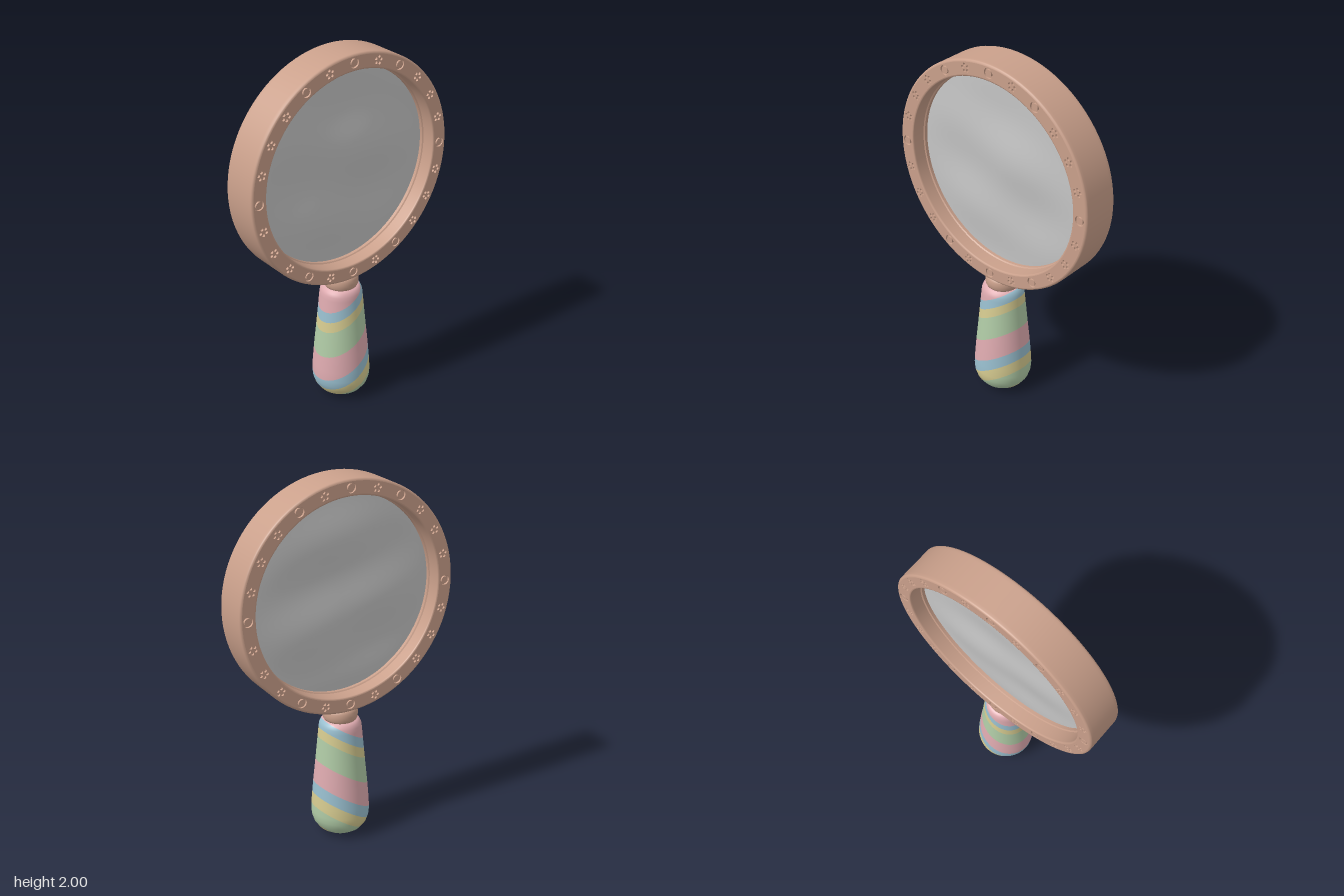
import * as THREE from 'three';
import { mergeVertices } from 'three/addons/utils/BufferGeometryUtils.js';

const mat = (name, color) => {
  const m = new THREE.MeshStandardMaterial({ color });
  m.name = name;
  return m;
};

const lathe = (pts, seg) => new THREE.LatheGeometry(pts.map(([r, y]) => new THREE.Vector2(r, y)), seg);

const circle = (Type, x, y, r) => new Type().absarc(x, y, r, 0, Math.PI * 2, false);

// Keeps the part of a polygon where sign * (height - level) >= 0
function clip(poly, level, sign) {
  const out = [];
  poly.forEach((a, i) => {
    const b = poly[(i + 1) % poly.length];
    const da = sign * (a.h - level), db = sign * (b.h - level);
    if (da >= 0) out.push(a);
    if (da * db < 0) {
      const t = da / (da - db);
      out.push({ p: a.p.clone().lerp(b.p, t), n: a.n.clone().lerp(b.n, t).normalize(), h: level });
    }
  });
  return out;
}

// Cuts the band between two slanted planes out of a surface
function slantedBand(geo, lo, hi, slope) {
  const src = geo.toNonIndexed(), P = src.attributes.position, N = src.attributes.normal;
  const pos = [], nor = [];
  for (let i = 0; i < P.count; i += 3) {
    let poly = [0, 1, 2].map((k) => {
      const p = new THREE.Vector3().fromBufferAttribute(P, i + k);
      const n = new THREE.Vector3().fromBufferAttribute(N, i + k);
      return { p, n, h: p.y - slope * p.x };
    });
    poly = clip(clip(poly, lo, 1), hi, -1);
    for (let k = 1; k < poly.length - 1; k++) {
      for (const v of [poly[0], poly[k], poly[k + 1]]) {
        pos.push(...v.p.toArray());
        nor.push(...v.n.toArray());
      }
    }
  }
  const g = new THREE.BufferGeometry();
  g.setAttribute('position', new THREE.Float32BufferAttribute(pos, 3));
  g.setAttribute('normal', new THREE.Float32BufferAttribute(nor, 3));
  return g;
}

export function createModel() {
  const model = new THREE.Group();
  model.name = 'magnifyingGlass';
  const brown = mat('warm brown', 0xcaa08b);
  const glass = mat('glass grey', 0xc6c6c6);
  const pink = mat('pink', 0xdfabb0);
  const blue = mat('blue', 0x99bfcf);
  const yellow = mat('yellow', 0xd6cb90);
  const green = mat('green', 0xb0cba6);
  const add = (parent, name, geo, material) => {
    const m = new THREE.Mesh(geo, material);
    m.name = name;
    parent.add(m);
    return m;
  };

  // Handle: tapered grip cut into slanted stripes
  const grip = lathe([[0, 0], [0.05, 0.002], [0.09, 0.012], [0.122, 0.034], [0.145, 0.066], [0.156, 0.1],
    [0.159, 0.135], [0.156, 0.19], [0.147, 0.3], [0.135, 0.42], [0.123, 0.55], [0.116, 0.625],
    [0.113, 0.648], [0.106, 0.666], [0.095, 0.677], [0.08, 0.681], [0, 0.681]], 64);
  const levels = [-1, -0.025, 0.082, 0.155, 0.225, 0.365, 0.508, 0.565, 0.622, 2];
  const stripes = [yellow, green, yellow, blue, pink, green, yellow, blue, pink];
  const handle = new THREE.Group();
  handle.name = 'handle';
  model.add(handle);
  stripes.forEach((m, i) =>
    add(handle, 'handleStripe' + (i + 1), slantedBand(grip, levels[i], levels[i + 1], 0.6), m));

  // Collar between handle and frame
  add(model, 'collar', lathe([[0, 0.672], [0.075, 0.672], [0.087, 0.679], [0.093, 0.692], [0.095, 0.712],
    [0.093, 0.732], [0.086, 0.746], [0.073, 0.754], [0.06, 0.77], [0, 0.77]], 48), brown);

  // Head: frame, engraved faces and lens, turned slightly about the upright axis
  const head = new THREE.Group();
  head.name = 'head';
  head.position.y = 1.377;
  head.rotation.y = 0.025;
  model.add(head);

  // Frame cross-section: half mirrored to the back; doubled points keep the face channel and ledge sharp
  const half = [[0.623, 0.08], [0.623, 0.094], [0.621, 0.1], [0.616, 0.104], [0.611, 0.105], [0.611, 0.105],
    [0.611, 0.093], [0.611, 0.093], [0.545, 0.093], [0.545, 0.093], [0.545, 0.105], [0.545, 0.105],
    [0.54, 0.104], [0.537, 0.101], [0.536, 0.095], [0.536, 0.03], [0.536, 0.03], [0.53, 0.025], [0.53, 0.025]];
  const back = half.map(([r, z]) => [r, -z]).reverse();
  add(head, 'frame', lathe([...half, ...back, half[0]], 96).rotateX(Math.PI / 2), brown);

  // Face plate pierced by rings and five-petal flowers, every 15 degrees
  const plate = circle(THREE.Shape, 0, 0, 0.611);
  plate.holes.push(circle(THREE.Path, 0, 0, 0.545));
  const shapes = [plate];
  const ringAngles = [0, 30, 90, 150, 180, 210, 270, 330];
  for (let deg = 0; deg < 360; deg += 15) {
    const a = THREE.MathUtils.degToRad(deg);
    const x = 0.579 * Math.sin(a), y = 0.579 * Math.cos(a);
    if (ringAngles.includes(deg)) {
      plate.holes.push(circle(THREE.Path, x, y, 0.027));
      shapes.push(circle(THREE.Shape, x, y, 0.019));
    } else {
      for (let i = 0; i < 5; i++) {
        const b = Math.PI / 2 - a + (i * Math.PI * 2) / 5;
        plate.holes.push(circle(THREE.Path, x + 0.018 * Math.cos(b), y + 0.018 * Math.sin(b), 0.008));
      }
    }
  }
  // The plate outline is finely divided, the small marks coarsely
  const engraved = shapes.map((s, i) =>
    new THREE.ExtrudeGeometry(s, { depth: 0.012, bevelEnabled: false, curveSegments: i ? 20 : 48 }));
  for (const turn of [0, Math.PI]) {
    const face = new THREE.Group();
    face.name = turn ? 'backFace' : 'frontFace';
    face.rotation.y = turn;
    head.add(face);
    engraved.forEach((g, i) => {
      add(face, i ? 'ringCentre' : 'engravedPlate', g, brown).position.z = 0.093;
    });
  }

  // Lens: thin shallow dome on both faces with gentle ripples
  const dome = [];
  for (let i = 0; i <= 24; i++) {
    const r = 0.532 * Math.sin((i / 24) * Math.PI / 2);
    dome.push([r, -0.008 - 0.014 * (1 - (r / 0.532) ** 2)]);
  }
  let lens = lathe([...dome, ...dome.map(([r, z]) => [r, -z]).reverse()], 72).rotateX(Math.PI / 2);
  lens.deleteAttribute('uv');
  lens.deleteAttribute('normal');
  lens = mergeVertices(lens, 1e-4);
  const lp = lens.attributes.position;
  for (let i = 0; i < lp.count; i++) {
    const x = lp.getX(i), y = lp.getY(i);
    const fade = 1 - (x * x + y * y) / 0.29;
    lp.setZ(i, lp.getZ(i) + 0.008 * fade * (Math.sin(13 * y + 3 * x) + 0.6 * Math.sin(8 * x - 7 * y + 1)));
  }
  lens.computeVertexNormals();
  add(head, 'lens', lens, glass);
  return model;
}
